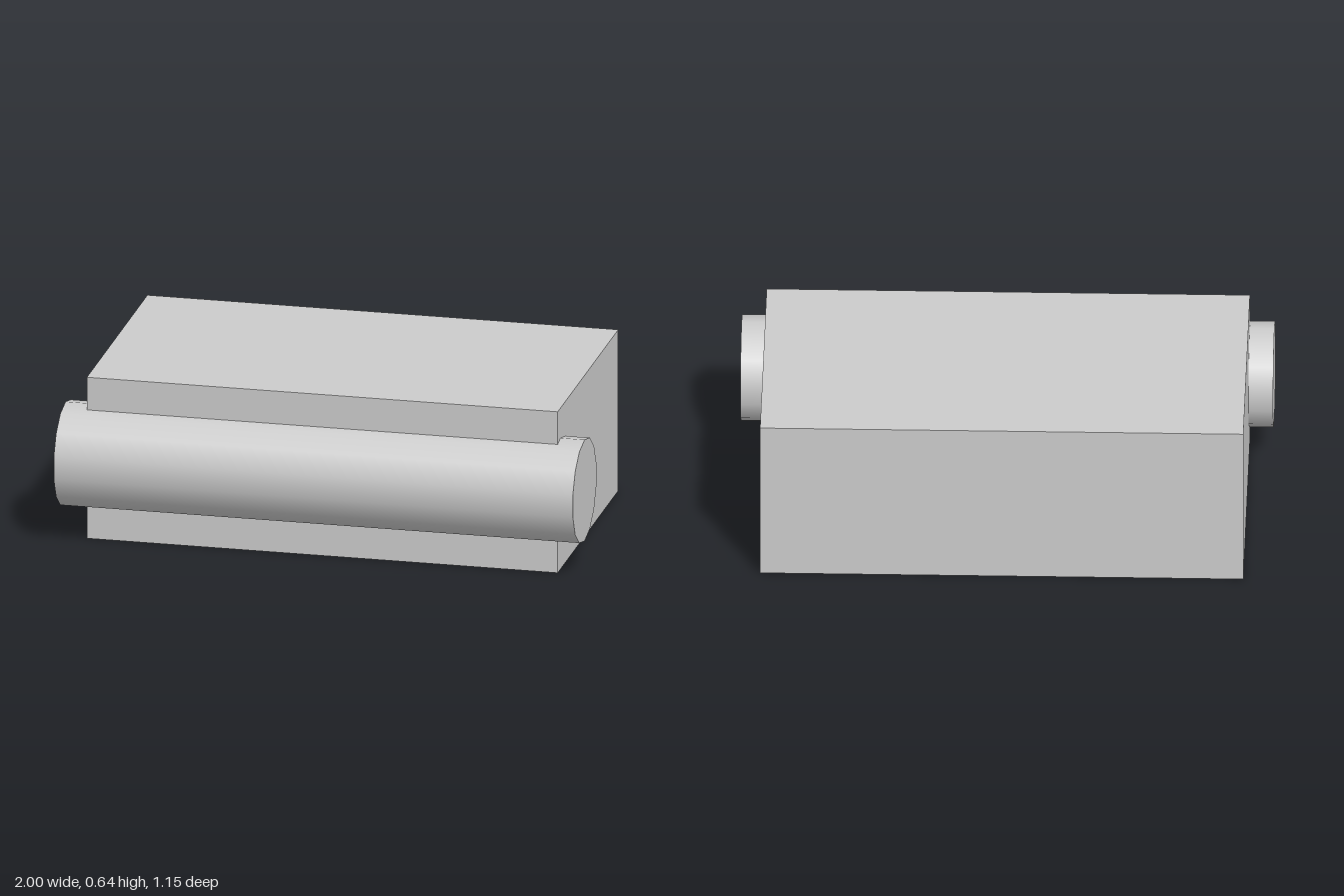
import * as THREE from 'three';

export function createModel() {
  const model = new THREE.Group();
  const lightGrey = new THREE.MeshStandardMaterial({ color: 0xcccccc });
  lightGrey.name = 'lightGrey';

  const add = (name, geometry, x, y, z) => {
    const mesh = new THREE.Mesh(geometry, lightGrey);
    mesh.name = name;
    mesh.position.set(x, y, z);
    model.add(mesh);
  };

  // Main block
  const height = 0.637;
  add('block', new THREE.BoxGeometry(1.814, height, 1.003), 0, height / 2, -0.0745);

  // Fourteen-sided roller set into the front, with a corner straight up
  const roller = new THREE.CylinderGeometry(0.2, 0.2, 2, 14, 1, false, Math.PI / 2);
  roller.rotateZ(-Math.PI / 2);
  add('roller', roller, 0, height / 2, 0.381);

  return model;
}
